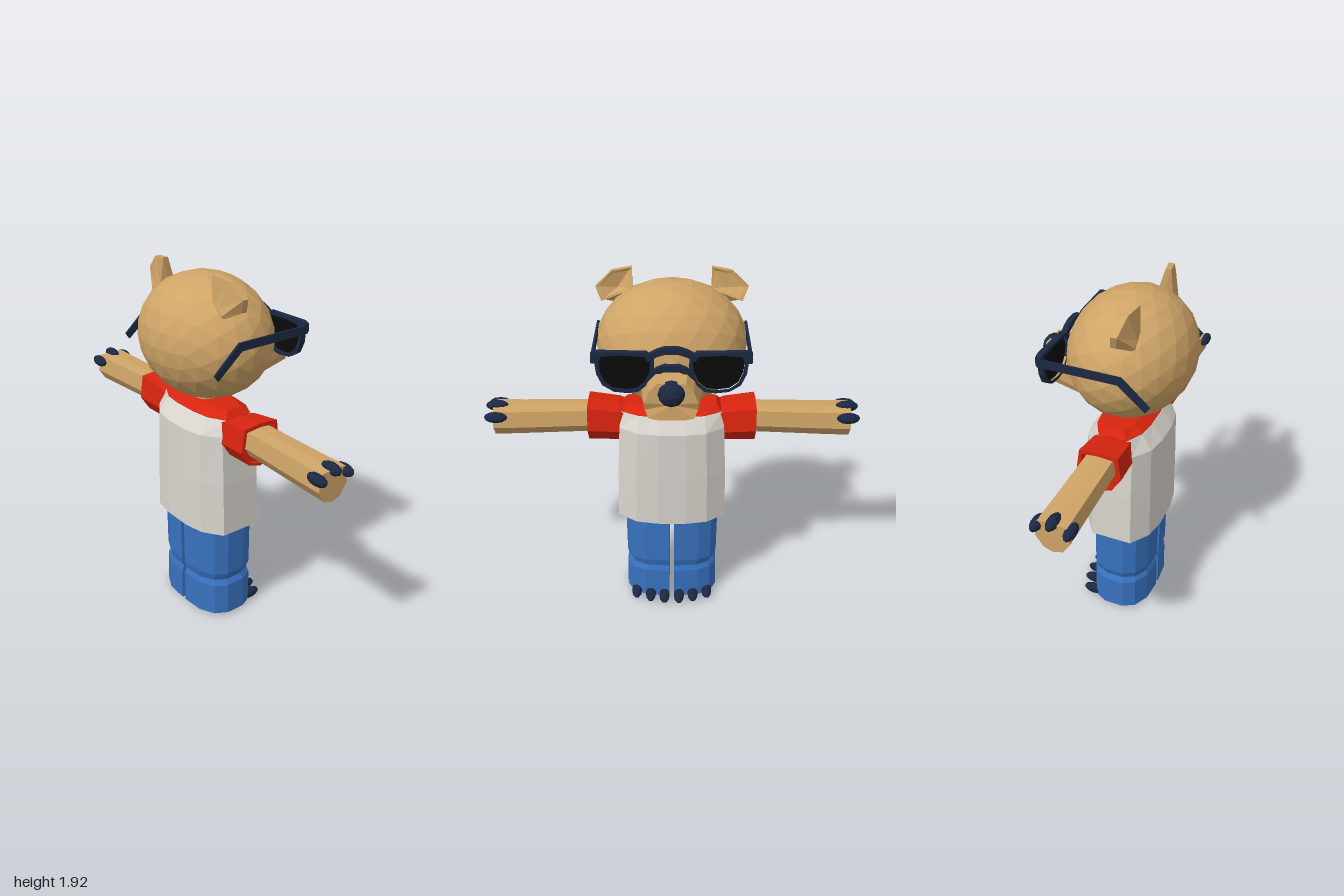
import * as THREE from 'three';

const mat = (name, color) => {
  const m = new THREE.MeshStandardMaterial({ color, flatShading: true });
  m.name = name;
  return m;
};

// Closed skin through rings of equal point count, capped at both ends.
// startTip / endTip optionally move the middle of a cap (for recesses).
function loft(rings, endTip) {
  const n = rings[0].length, pos = rings.flat(2), idx = [];
  const mid = (r) => [0, 1, 2].map((k) => r.reduce((a, p) => a + p[k], 0) / n);
  const last = (rings.length - 1) * n, a = rings.length * n, b = a + 1;
  pos.push(...mid(rings[0]), ...(endTip || mid(rings[rings.length - 1])));
  for (let i = 0; i < n; i++) {
    const j = (i + 1) % n;
    for (let r = 0; r < last; r += n) idx.push(r + i, r + j, r + n + i, r + j, r + n + j, r + n + i);
    idx.push(a, j, i, b, last + i, last + j);
  }
  // Turn the faces outward whichever way the rings run
  let vol = 0;
  const v = (i) => new THREE.Vector3().fromArray(pos, i * 3);
  for (let i = 0; i < idx.length; i += 3) vol += v(idx[i]).dot(v(idx[i + 1]).cross(v(idx[i + 2])));
  if (vol < 0) idx.reverse();
  const g = new THREE.BufferGeometry();
  g.setAttribute('position', new THREE.Float32BufferAttribute(pos, 3));
  g.setIndex(idx);
  const flat = g.toNonIndexed();
  flat.computeVertexNormals();
  return flat;
}

const shapeOf = (pts, s = 1) => new THREE.Shape(pts.map(([x, y]) => new THREE.Vector2(x * s, y)));

// Extrude a (z, y) outline backward from x = front
function plate(shape, front, depth) {
  return new THREE.ExtrudeGeometry(shape, { depth, bevelEnabled: false })
    .rotateY(-Math.PI / 2).translate(front, 0, 0);
}

export function createModel() {
  const root = new THREE.Group();
  const fur = mat('tan fur', 0xcfa467), red = mat('red trim', 0xd8240f), white = mat('pale shirt', 0xd9d5ce);
  const blue = mat('blue trousers', 0x3872c0), navy = mat('dark navy', 0x1b2842), black = mat('black lens', 0x0b0b0c);
  const add = (name, geo, m) => {
    const mesh = new THREE.Mesh(geo, m);
    mesh.name = name;
    root.add(mesh);
    return mesh;
  };
  const blob = (name, m, detail, p, r) =>
    add(name, new THREE.IcosahedronGeometry(1, detail).scale(...r).translate(...p), m);

  // Head and neck
  blob('head', fur, 3, [-0.09, 1.57, 0], [0.322, 0.322, 0.387]);
  add('neck', new THREE.CylinderGeometry(0.068, 0.068, 0.16, 8).translate(-0.09, 1.23, 0), fur);

  // Muzzle: outline points are [z, y, x at the tip]
  const half = [[0.07, 1.55, 0.36], [0.105, 1.51, 0.36], [0.13, 1.45, 0.362],
    [0.128, 1.405, 0.345], [0.11, 1.365, 0.36], [0.06, 1.355, 0.362]];
  const outline = [...half, ...half.map(([z, y, x]) => [-z, y, x]).reverse()];
  add('muzzle', loft([
    outline.map(([z, y]) => [0.05, y - (y < 1.42 ? 0.05 : 0), z * 1.3]),
    outline.map(([z, y]) => [0.2, y - (y < 1.42 ? 0.028 : 0), z * 1.12]),
    outline.map(([z, y, x]) => [x, y, z]),
  ]), fur);
  blob('nose', navy, 1, [0.352, 1.495, 0], [0.057, 0.066, 0.068]);

  // Glasses: two rims with lenses, double bridge, bent temples
  const rim = [[0.387, 1.655], [0.36, 1.665], [0.12, 1.66], [0.085, 1.63], [0.085, 1.57], [0.11, 1.5],
    [0.16, 1.455], [0.21, 1.447], [0.28, 1.455], [0.335, 1.49], [0.362, 1.55], [0.368, 1.605], [0.387, 1.61]];
  const lens = [[0.335, 1.64], [0.24, 1.648], [0.13, 1.64], [0.103, 1.615], [0.105, 1.56], [0.13, 1.505],
    [0.17, 1.472], [0.22, 1.465], [0.28, 1.473], [0.322, 1.505], [0.345, 1.56], [0.348, 1.61]];
  const temple = [[0.25, 1.645], [-0.18, 1.645], [-0.325, 1.515], [-0.305, 1.485], [-0.165, 1.603], [0.25, 1.603]];
  for (const s of [1, -1]) {
    const side = s > 0 ? 'far' : 'near';
    const frame = shapeOf(rim, s);
    frame.holes.push(shapeOf(lens, s));
    add(side + 'Rim', plate(frame, 0.255, 0.03), navy);
    add(side + 'Lens', plate(shapeOf(lens, s), 0.246, 0.009), black);
    add(side + 'Temple', new THREE.ExtrudeGeometry(shapeOf(temple), { depth: 0.012, bevelEnabled: false })
      .translate(0, 0, s * 0.381 - 0.006), navy);
  }
  const arc = (pts, h) => shapeOf([...pts, ...pts.map(([z, y]) => [z, y - h]).reverse()]);
  add('upperBridge', plate(arc([[-0.12, 1.645], [-0.07, 1.672], [-0.03, 1.685], [0.03, 1.685],
    [0.07, 1.672], [0.12, 1.645]], 0.033), 0.255, 0.03), navy);
  add('lowerBridge', plate(arc([[-0.11, 1.54], [-0.075, 1.575], [-0.035, 1.592], [0.035, 1.592],
    [0.075, 1.575], [0.11, 1.54]], 0.032), 0.255, 0.03), navy);

  // Shirt and collar share a rounded twelve-sided section
  const oval = (y, x0, x1, w) => [[1, 0.25], [0.9, 0.62], [0.55, 0.95], [-0.55, 0.95], [-0.9, 0.62], [-1, 0.25],
    [-1, -0.25], [-0.9, -0.62], [-0.55, -0.95], [0.55, -0.95], [0.9, -0.62], [1, -0.25]]
    .map(([u, v]) => [(x0 + x1) / 2 + u * (x1 - x0) / 2, y, v * w / 0.95]);
  add('shirt', loft([oval(0.56, -0.29, 0.112, 0.295), oval(0.85, -0.288, 0.111, 0.29),
    oval(1.12, -0.284, 0.106, 0.277), oval(1.2, -0.225, 0.055, 0.265)]), white);
  add('collar', loft([oval(1.19, -0.222, 0.052, 0.26), oval(1.203, -0.222, 0.052, 0.262),
    oval(1.237, -0.17, -0.005, 0.235)]), red);

  // Arm section as [x, y]
  const armSection = [[-0.165, 1.19], [-0.09, 1.197], [-0.015, 1.19], [-0.003, 1.1],
    [-0.045, 1.042], [-0.09, 1.027], [-0.14, 1.042], [-0.178, 1.1]];
  const ring = (z, k = 1, dy = 0) => armSection.map(([x, y]) => [-0.09 + (x + 0.09) * k, 1.115 + (y - 1.115) * k + dy, z]);
  // Leg section as [x, z]
  const legSection = [[0.082, 0.013], [0.07, 0.15], [0.035, 0.222], [-0.035, 0.258],
    [-0.14, 0.258], [-0.205, 0.222], [-0.247, 0.14], [-0.256, 0.013]];
  // Ear rim as [x, y, z]
  const earRim = [[-0.115, 1.775, 0.355], [-0.13, 1.845, 0.383], [-0.15, 1.92, 0.3],
    [-0.17, 1.932, 0.2], [-0.14, 1.83, 0.2]];

  for (const s of [1, -1]) {
    const side = s > 0 ? 'far' : 'near';
    // Ears with a hollow front
    const flip = (r) => r.map(([x, y, z]) => [x, y, z * s]);
    add(side + 'Ear', loft([
      flip(earRim.map(([, y, z]) => [-0.21, 1.76 + (y - 1.85) * 0.35, 0.25 + (z - 0.28) * 0.4])),
      flip(earRim.map(([x, y, z]) => [x - 0.03, y, z])),
      flip(earRim),
      flip(earRim.map(([x, y, z]) => [x - 0.005, 1.85 + (y - 1.85) * 0.8, 0.28 + (z - 0.28) * 0.8])),
    ], [-0.165, 1.83, 0.275 * s]), fur);

    // Arms, sleeves and hand claws
    add(side + 'Arm', loft([ring(0.2 * s, 0.95, 0.008), ring(0.45 * s, 0.92, 0.012), ring(0.8 * s, 0.97, 0.002),
      ring(0.95 * s)]), fur);
    add(side + 'Sleeve', loft([ring(0.22 * s, 1.1, -0.015), ring(0.28 * s, 1.26, -0.005), ring(0.445 * s, 1.36, 0.008),
      ring(0.445 * s, 1.15, 0.005), ring(0.42 * s, 1.1, 0)]), red);
    [[-0.176, 1.162], [-0.09, 1.192], [-0.01, 1.162]].forEach(([x, y], i) =>
      blob(side + 'HandClaw' + (i + 1), navy, 1, [x, y, 0.933 * s], [0.029, 0.031, 0.062]));

    // Legs with a pinched knee
    const level = (y, k) => legSection.map(([x, z]) => [-0.087 + (x + 0.087) * k, y, (0.013 + (z - 0.013) * k) * s]);
    add(side + 'Leg', loft([level(0.02, 1), level(0.2, 0.99), level(0.23, 0.92), level(0.275, 0.99),
      level(0.58, 1)]), blue);
    [[0.1, 0.042], [0.085, 0.122], [0.055, 0.203]].forEach(([x, z], i) =>
      blob(side + 'FootClaw' + (i + 1), navy, 1, [x, 0.038, z * s], [0.064, 0.03, 0.03]));
  }
  return root;
}
